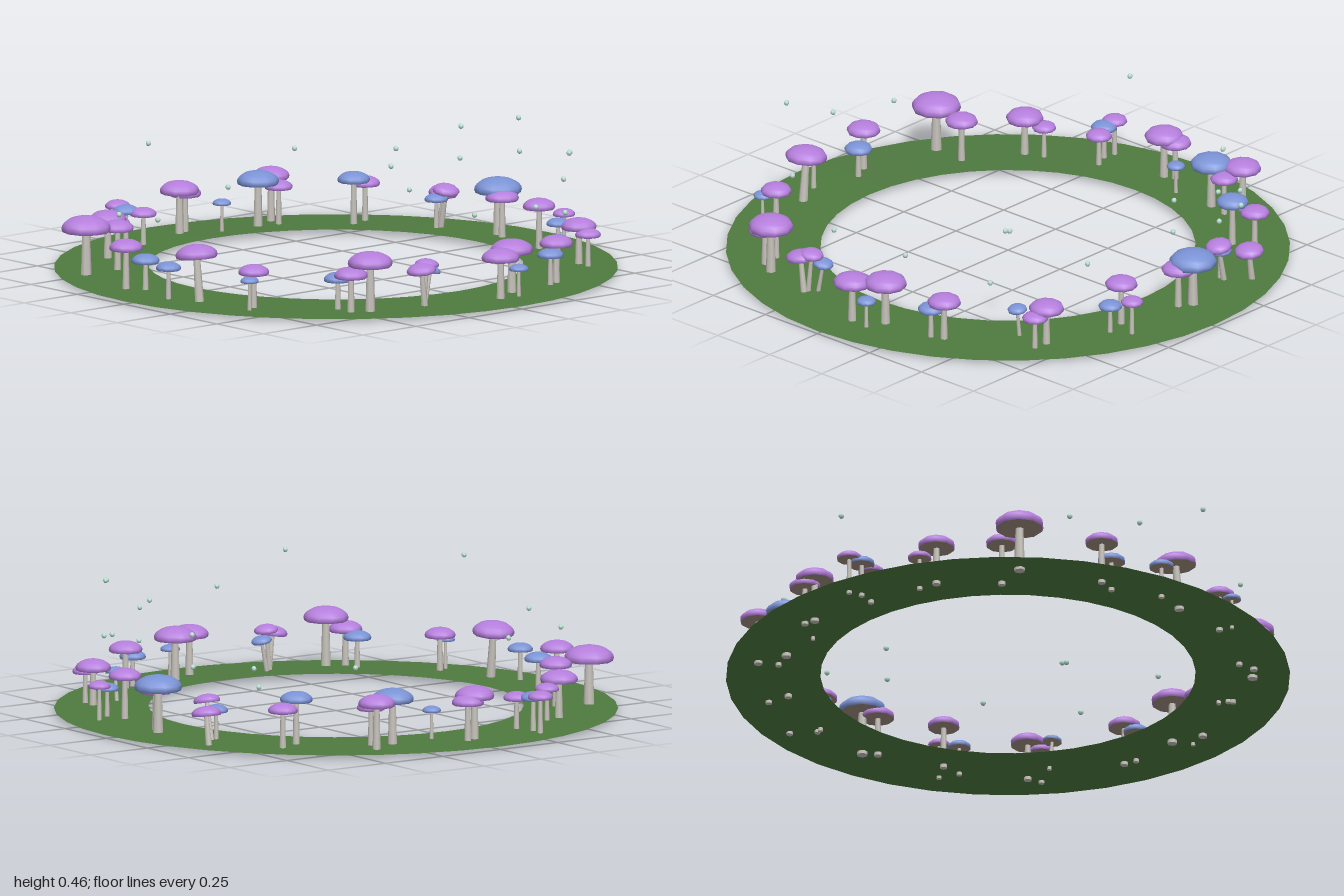
import * as THREE from 'three';

const mat = (name, color, side = THREE.FrontSide) => {
  const m = new THREE.MeshStandardMaterial({ color, side });
  m.name = name;
  return m;
};

// Each mushroom: cap x, cap z, cap radius, top height, stem lean in x, in z
const PURPLE = [
  [-0.01, -0.83, 0.07, 0.205], [0.03, -0.845, 0.057, 0.18], [0.395, -0.8, 0.066, 0.21],
  [0.37, -0.73, 0.05, 0.175], [0.65, -0.585, 0.053, 0.175], [0.825, -0.36, 0.053, 0.15, 0, 0.02],
  [0.76, -0.27, 0.048, 0.175, 0, 0.035], [0.8, -0.02, 0.06, 0.187], [0.755, 0.23, 0.058, 0.197],
  [0.84, 0.267, 0.04, 0.155], [0.675, 0.535, 0.063, 0.18], [0.67, 0.59, 0.046, 0.15],
  [0.38, 0.75, 0.06, 0.185], [0.135, 0.79, 0.076, 0.207], [0.03, 0.85, 0.068, 0.195],
  [-0.285, 0.78, 0.053, 0.17, -0.02, 0], [-0.24, 0.765, 0.043, 0.18, 0.02, 0],
  [-0.475, 0.725, 0.08, 0.228], [-0.535, 0.69, 0.06, 0.175], [-0.743, 0.405, 0.055, 0.17],
  [-0.81, 0.17, 0.075, 0.218, 0, -0.02], [-0.845, -0.165, 0.06, 0.193],
  [-0.77, -0.465, 0.088, 0.225], [-0.635, -0.45, 0.058, 0.195], [-0.51, -0.645, 0.067, 0.187],
  [-0.44, -0.67, 0.043, 0.15], [-0.275, -0.86, 0.045, 0.165], [-0.25, -0.75, 0.047, 0.15],
];
const BLUE = [
  [0.12, -0.75, 0.033, 0.135], [0.29, -0.75, 0.075, 0.215], [0.57, -0.555, 0.058, 0.205],
  [0.74, -0.305, 0.042, 0.14], [0.825, -0.07, 0.085, 0.222], [0.775, 0.31, 0.042, 0.135],
  [0.56, 0.565, 0.035, 0.137, 0, 0.015], [0.335, 0.77, 0.047, 0.145], [0.107, 0.86, 0.035, 0.13],
  [-0.203, 0.743, 0.037, 0.145, 0.03, 0], [-0.54, 0.625, 0.05, 0.148], [-0.785, 0.43, 0.033, 0.135],
  [-0.86, 0.08, 0.045, 0.148], [-0.81, -0.1, 0.05, 0.145], [-0.28, -0.81, 0.047, 0.155],
];
const SPORES = [
  [-0.165, 0.36, -0.82], [-0.78, 0.44, 0.31], [-0.33, 0.44, 0.77], [-0.075, 0.325, 0.83],
  [0.24, 0.31, 0.8], [0.555, 0.44, 0.62], [0.567, 0.44, 0.61], [0.83, 0.45, 0.035],
  [0.83, 0.33, 0.04], [0.795, 0.385, -0.235], [0.795, 0.27, -0.24], [-0.79, 0.26, -0.265],
  [-0.84, 0.285, 0], [0.69, 0.285, -0.465], [0.405, 0.29, -0.685], [0.735, 0.29, 0.385],
  [0.51, 0.235, 0.65], [0.68, 0.22, -0.48],
];

export function createModel() {
  const model = new THREE.Group();
  model.name = 'mushroomRing';
  const grass = mat('grass green', 0x4f7a3f, THREE.DoubleSide);
  const purple = mat('cap purple', 0xb57edc);
  const blue = mat('cap blue', 0x7b93d6);
  const stemMat = mat('stem grey', 0xc8c3bc);
  const gillMat = mat('gill brown', 0xa08f7e);
  const sporeMat = mat('spore mint', 0xb8e0d0);

  const add = (parent, name, geometry, material) => {
    const mesh = new THREE.Mesh(geometry, material);
    mesh.name = name;
    parent.add(mesh);
    return mesh;
  };

  // Grass ring, sloping very slightly down to its outer edge
  const ring = [new THREE.Vector2(1, 0.011), new THREE.Vector2(0.665, 0.019)];
  add(model, 'grassRing', new THREE.LatheGeometry(ring, 40), grass);

  // Unit cap: flattened dome whose edge curls in under the widest point
  const cut = Math.PI * 0.6;
  const capGeo = new THREE.SphereGeometry(1, 10, 7, 0, Math.PI * 2, 0, cut).scale(1, 0.5, 1);
  const gillGeo = new THREE.CircleGeometry(Math.sin(cut), 10).rotateX(Math.PI / 2);
  const up = new THREE.Vector3(0, 1, 0);

  const mushroom = ([x, z, r, top, leanX = 0, leanZ = 0], capMat) => {
    const g = new THREE.Group();
    g.name = 'mushroom';
    g.position.set(x - leanX, 0.003, z - leanZ);
    const axis = new THREE.Vector3(leanX, top, leanZ);
    const height = axis.length() - 0.003;
    g.quaternion.setFromUnitVectors(up, axis.normalize());

    const capY = height - r * 0.5;
    const stem = add(g, 'stem', new THREE.CylinderGeometry(r * 0.16, r * 0.23, capY, 7), stemMat);
    stem.position.y = capY / 2;
    const cap = add(g, 'cap', capGeo, capMat);
    cap.position.y = capY;
    cap.scale.setScalar(r);
    const gills = add(g, 'gills', gillGeo, gillMat);
    gills.position.y = capY + r * 0.5 * Math.cos(cut);
    gills.scale.setScalar(r);
    model.add(g);
  };
  PURPLE.forEach((m) => mushroom(m, purple));
  BLUE.forEach((m) => mushroom(m, blue));

  // Floating spores
  const sporeGeo = new THREE.SphereGeometry(0.01, 6, 5);
  for (const p of SPORES) add(model, 'spore', sporeGeo, sporeMat).position.set(...p);

  return model;
}
